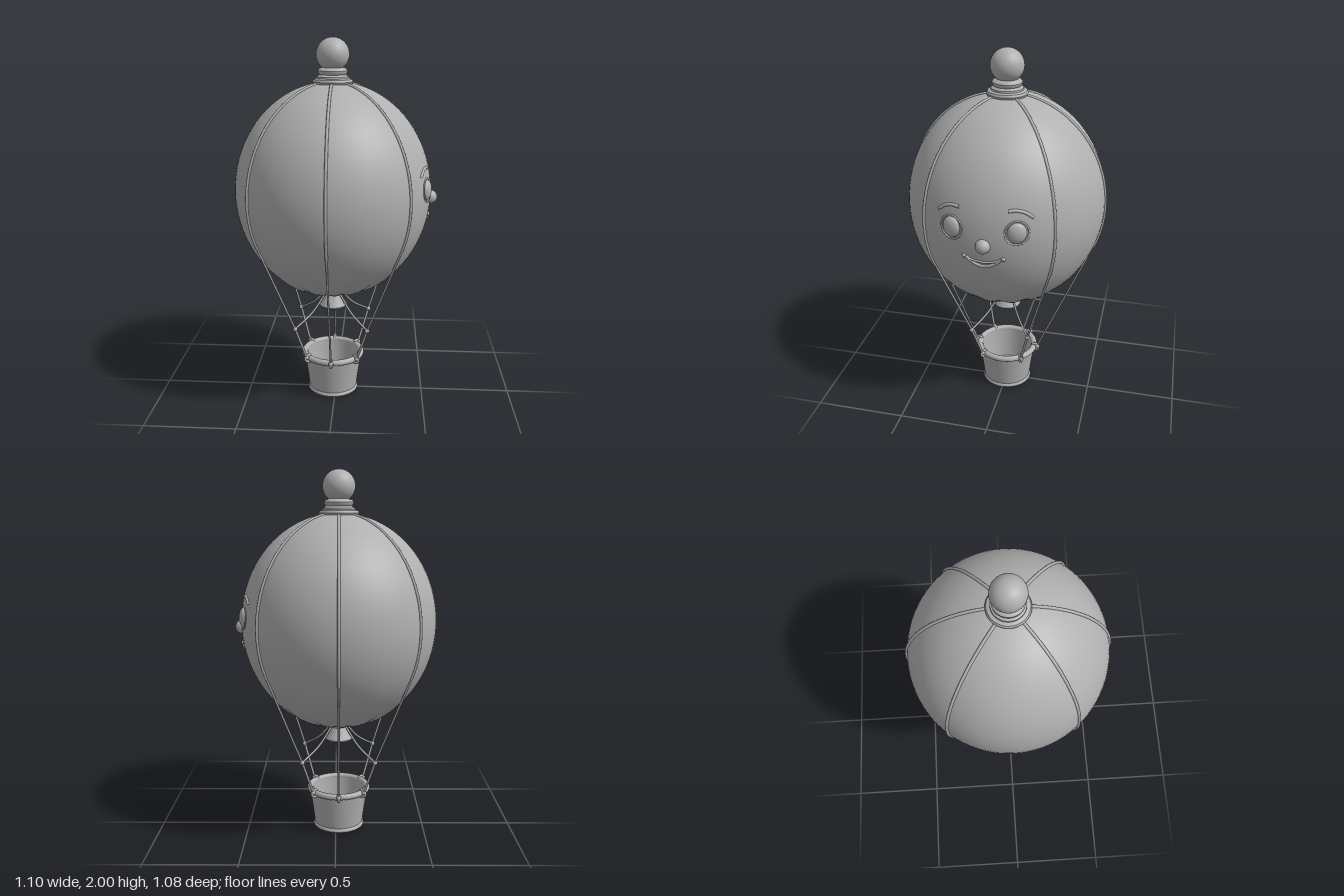
import * as THREE from 'three';
import { mergeVertices, toCreasedNormals } from 'three/addons/utils/BufferGeometryUtils.js';

const R = 0.53, H = 0.585, CY = 1.19; // envelope radius, half height, centre height
const grey = new THREE.MeshStandardMaterial({ color: 0xb0b0b0 });
grey.name = 'clay grey';

const V = (x, y, z) => new THREE.Vector3(x, y, z);
const polar = (a, r, y) => V(r * Math.cos(a), y, r * Math.sin(a));

function add(parent, name, geometry, pos = V(0, 0, 0)) {
  const mesh = new THREE.Mesh(geometry, grey);
  mesh.name = name;
  mesh.position.copy(pos);
  parent.add(mesh);
  return mesh;
}
function lathe(points, segments = 48, crease = 0.7) {
  const g = new THREE.LatheGeometry(points.map(p => new THREE.Vector2(...p)), segments);
  return toCreasedNormals(g, crease);
}
function tube(points, radius, segments = 24) {
  return new THREE.TubeGeometry(new THREE.CatmullRomCurve3(points), segments, radius, 8);
}
// point of the face side of the envelope at a given height and z
function onFace(y, z, lift = 0) {
  const r = R * Math.sqrt(1 - ((y - CY) / H) ** 2);
  return V(Math.sqrt(r * r - z * z) + lift, y, z);
}

// envelope with gathers towards the lower opening
function envelopeGeometry() {
  const profile = [];
  for (let i = 0; i <= 40; i++) {
    const t = (-85 + i * 4.15) * Math.PI / 180;
    profile.push(new THREE.Vector2(R * Math.cos(t), CY + H * Math.sin(t)));
  }
  let g = new THREE.LatheGeometry(profile, 84);
  g.deleteAttribute('uv');
  g.deleteAttribute('normal');
  g = mergeVertices(g, 1e-4);
  const p = g.attributes.position;
  for (let i = 0; i < p.count; i++) {
    const low = THREE.MathUtils.smoothstep(CY - p.getY(i), 0.4, 0.57);
    const k = 1 + 0.05 * low * Math.sin(14 * Math.atan2(p.getZ(i), p.getX(i)));
    p.setX(i, p.getX(i) * k);
    p.setZ(i, p.getZ(i) * k);
  }
  g.computeVertexNormals();
  return g;
}

function buildFace(parent) {
  const face = new THREE.Group();
  face.name = 'face';
  parent.add(face);
  for (const s of [1, -1]) {
    const eye = add(face, 'eye', new THREE.SphereGeometry(1, 28, 20), onFace(1.235, s * 0.163, -0.004));
    eye.scale.set(0.025, 0.054, 0.048);
    eye.rotation.y = -s * 0.3;
    const rim = [];
    for (let i = 0; i < 20; i++) {
      const a = i / 20 * Math.PI * 2;
      rim.push(onFace(1.235 + 0.06 * Math.sin(a), s * 0.163 + 0.056 * Math.cos(a)));
    }
    add(face, 'eyelid', new THREE.TubeGeometry(new THREE.CatmullRomCurve3(rim, true), 40, 0.005, 6, true));
    const brow = [[1.31, 0.235], [1.335, 0.2], [1.347, 0.16], [1.345, 0.12]];
    add(face, 'eyebrow', tube(brow.map(([y, z]) => onFace(y, s * z)), 0.009));
    add(face, 'mouthCorner', new THREE.SphereGeometry(0.011, 12, 8), onFace(1.092, s * 0.1));
  }
  add(face, 'nose', new THREE.SphereGeometry(0.038, 28, 20), V(0.529, 1.16, 0));
  const lip = (drop, z0) => [-1, -0.6, 0, 0.6, 1].map(t => onFace(1.092 - drop * (1 - t * t), t * z0));
  add(face, 'upperLip', tube(lip(0.026, 0.1), 0.006));
  add(face, 'lowerLip', tube(lip(0.05, 0.09), 0.009));
}

function buildRopes(parent) {
  const d = 39 * Math.PI / 180;
  for (const a of [d, Math.PI / 2, Math.PI - d, Math.PI + d, -Math.PI / 2, -d]) {
    const rope = new THREE.Group();
    rope.name = 'rope';
    parent.add(rope);
    const seam = [];
    for (let i = 0; i <= 20; i++) {
      const t = (79 - i * 5.2) * Math.PI / 180;
      seam.push(polar(a, R * Math.cos(t) + 0.002, CY + H * Math.sin(t)));
    }
    add(rope, 'seamRope', tube(seam, 0.008, 60));
    const start = seam[seam.length - 1], end = polar(a, 0.183, 0.235);
    if (Math.abs(Math.cos(a)) > 0.1) {
      // diagonal ropes are knotted and tied to the skirt
      const knot = polar(a, 0.257, 0.43);
      add(rope, 'upperRope', tube([start, knot], 0.006, 2));
      add(rope, 'lowerRope', tube([knot, end], 0.007, 2));
      add(rope, 'knot', new THREE.SphereGeometry(0.014, 12, 8), knot);
      add(rope, 'skirtRope', tube([knot, polar(a, 0.14, 0.502), polar(a, 0.045, 0.605)], 0.006));
    } else {
      add(rope, 'straightRope', tube([start, end], 0.0055, 2));
    }
    // loop tied around the basket rim
    const loop = add(rope, 'rimLoop', new THREE.TorusGeometry(0.02, 0.008, 8, 20), polar(a, 0.172, 0.228));
    loop.rotation.y = -a;
    add(rope, 'rimKnot', new THREE.SphereGeometry(0.014, 12, 8), end);
  }
}

function buildBasket(parent) {
  const basket = new THREE.Group();
  basket.name = 'basket';
  parent.add(basket);
  add(basket, 'basketBody', lathe([
    [0, 0.016], [0.125, 0.016], [0.128, 0.002], [0.138, 0], [0.144, 0.008], [0.142, 0.02], [0.137, 0.026],
    [0.145, 0.09], [0.155, 0.16], [0.163, 0.225], [0.146, 0.225], [0.138, 0.14], [0.128, 0.04], [0, 0.04],
  ]));
  const rim = add(basket, 'basketRim', new THREE.TorusGeometry(0.162, 0.017, 12, 56), V(0, 0.228, 0));
  rim.rotation.x = Math.PI / 2;
  const slats = new THREE.Group();
  slats.name = 'floorSlats';
  slats.rotation.y = Math.PI / 4;
  basket.add(slats);
  for (let i = -4; i <= 4; i++) {
    const z = i * 0.027;
    add(slats, 'slat', new THREE.BoxGeometry(2 * Math.sqrt(0.125 ** 2 - z * z), 0.012, 0.019), V(0, 0.012, z));
  }
}

export function createModel() {
  const model = new THREE.Group();
  model.name = 'hotAirBalloon';
  const body = new THREE.Group();
  body.name = 'balloon';
  body.position.x = -0.017;
  model.add(body);

  add(body, 'envelope', envelopeGeometry());
  buildFace(body);
  buildRopes(body);
  buildBasket(body);

  // stepped collar and ball on top
  add(body, 'crownCollar', lathe([
    [0.09, 1.75], [0.104, 1.762], [0.108, 1.774], [0.102, 1.786], [0.085, 1.791], [0.084, 1.8],
    [0.075, 1.806], [0.07, 1.81], [0.078, 1.82], [0.079, 1.83], [0.07, 1.841], [0.055, 1.847], [0, 1.85],
  ]));
  add(body, 'crownBall', new THREE.SphereGeometry(0.0875, 40, 28), V(0, 1.9125, 0));

  // flared skirt under the envelope, open below
  add(body, 'skirt', lathe([
    [0, 0.545], [0.055, 0.54], [0.066, 0.517], [0.075, 0.516], [0.078, 0.524], [0.07, 0.54],
    [0.055, 0.568], [0.046, 0.592], [0.052, 0.6], [0.056, 0.61], [0.05, 0.625], [0, 0.64],
  ], 36));
  const tie = add(body, 'skirtTie', new THREE.TorusGeometry(0.049, 0.007, 8, 36), V(0, 0.598, 0));
  tie.rotation.x = Math.PI / 2;
  return model;
}
